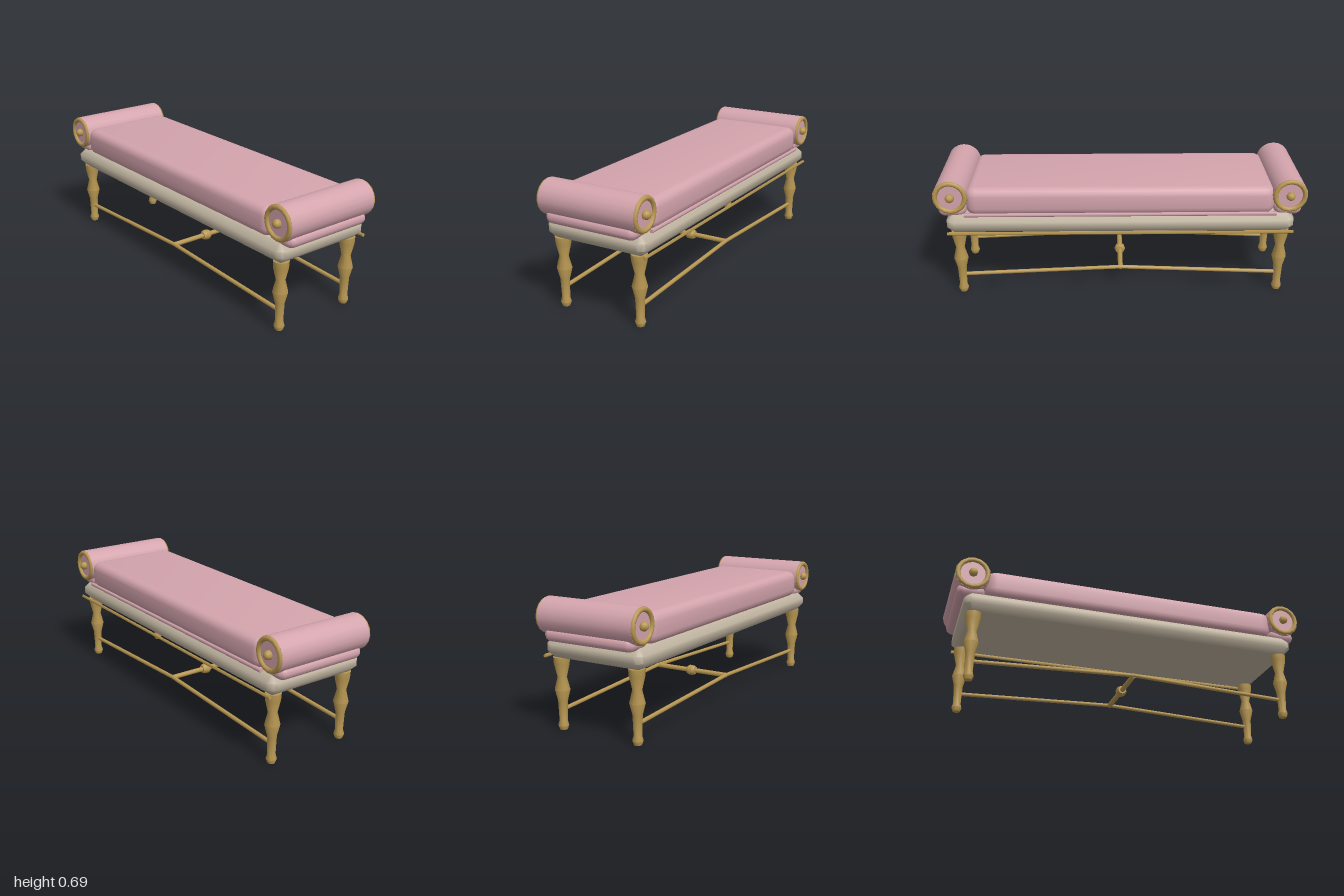
import * as THREE from 'three';
import { toCreasedNormals } from 'three/addons/utils/BufferGeometryUtils.js';

export function createModel() {
  const model = new THREE.Group();
  model.name = 'bench';

  const material = (name, color) => {
    const m = new THREE.MeshStandardMaterial({ color });
    m.name = name;
    return m;
  };
  const pink = material('pink upholstery', 0xd4a4ad);
  const gold = material('gilded wood', 0xb99852);
  const beige = material('beige frame', 0xc2b6a2);

  const add = (name, geometry, mat, x = 0, y = 0, z = 0) => {
    const mesh = new THREE.Mesh(geometry, mat);
    mesh.name = name;
    mesh.position.set(x, y, z);
    model.add(mesh);
    return mesh;
  };

  // Slab with softened edges, lying flat and centred on its own origin
  const softSlab = (w, h, d, bevel, segments, corner) => {
    const x = w / 2 - bevel, z = d / 2 - bevel, r = corner;
    const s = new THREE.Shape();
    s.moveTo(-x + r, -z);
    s.lineTo(x - r, -z);
    s.quadraticCurveTo(x, -z, x, -z + r);
    s.lineTo(x, z - r);
    s.quadraticCurveTo(x, z, x - r, z);
    s.lineTo(-x + r, z);
    s.quadraticCurveTo(-x, z, -x, z - r);
    s.lineTo(-x, -z + r);
    s.quadraticCurveTo(-x, -z, -x + r, -z);
    const g = new THREE.ExtrudeGeometry(s, {
      depth: h - 2 * bevel, bevelEnabled: true, bevelSize: bevel,
      bevelThickness: bevel, bevelSegments: segments, curveSegments: 3,
    });
    g.rotateX(-Math.PI / 2);
    g.translate(0, bevel - h / 2, 0);
    return toCreasedNormals(g, 0.9);
  };

  // Round rod between two points
  const rod = (name, a, b, radius, sides, mat) => {
    const from = new THREE.Vector3(...a), to = new THREE.Vector3(...b);
    const dir = to.clone().sub(from);
    const mesh = add(name, new THREE.CylinderGeometry(radius, radius, dir.length(), sides), mat);
    mesh.position.copy(from).add(to).multiplyScalar(0.5);
    mesh.quaternion.setFromUnitVectors(new THREE.Vector3(0, 1, 0), dir.normalize());
    return mesh;
  };

  // Seat frame and main cushion
  add('seatFrame', softSlab(1.88, 0.105, 0.58, 0.034, 1, 0.012), beige, 0, 0.4325, 0);
  add('seatCushion', softSlab(1.66, 0.155, 0.56, 0.045, 4, 0.012), pink, 0, 0.5575, 0);

  // Turned legs
  const legGeometry = new THREE.LatheGeometry([
    [0, 0], [0.02, 0], [0.028, 0.022], [0.021, 0.048], [0.025, 0.15],
    [0.04, 0.21], [0.024, 0.275], [0.04, 0.345], [0.042, 0.38], [0, 0.38],
  ].map(([r, y]) => new THREE.Vector2(r, y)), 12);
  const leg = toCreasedNormals(legGeometry, 0.7);
  const legX = 0.882, legZ = 0.228;
  for (const sx of [-1, 1]) {
    for (const sz of [-1, 1]) {
      add('leg', leg, gold, sx * legX, 0, sz * legZ);
      // Long stretchers rise gently to the middle
      rod('longStretcher', [sx * legX, 0.105, sz * legZ], [0, 0.142, sz * legZ], 0.011, 8, gold);
    }
  }

  // Cross stretcher with a turned knob
  rod('crossStretcher', [0, 0.14, -legZ], [0, 0.14, legZ], 0.014, 8, gold);
  const crossKnob = new THREE.LatheGeometry([
    [0, -0.025], [0.022, -0.025], [0.03, -0.01], [0.03, 0.01], [0.022, 0.025], [0, 0.025],
  ].map(([r, y]) => new THREE.Vector2(r, y)), 8);
  crossKnob.rotateX(Math.PI / 2);
  add('crossKnob', toCreasedNormals(crossKnob, 0.9), gold, 0, 0.14, 0);

  // Bolster at each end, resting on a small pad
  const padGeometry = softSlab(0.15, 0.07, 0.53, 0.034, 3, 0.008);
  const bolsterGeometry = new THREE.CylinderGeometry(0.0935, 0.0935, 0.555, 20);
  bolsterGeometry.rotateX(Math.PI / 2);
  const ringGeometry = new THREE.TorusGeometry(0.08, 0.0135, 8, 16);
  const knobGeometry = new THREE.SphereGeometry(0.025, 8, 6);
  knobGeometry.rotateX(Math.PI / 2);
  for (const sx of [-1, 1]) {
    const x = sx * 0.906, y = 0.593;
    add('bolsterPad', padGeometry, pink, x, 0.505, 0);
    add('bolster', bolsterGeometry, pink, x, y, 0);
    for (const sz of [-1, 1]) {
      add('bolsterRing', ringGeometry, gold, x, y, sz * 0.278);
      add('bolsterKnob', knobGeometry, gold, x, y, sz * 0.287);
    }
  }

  // Piping and gilded bead along the back
  rod('backPiping', [-0.84, 0.487, -0.271], [0.84, 0.487, -0.271], 0.011, 6, pink);
  rod('backBead', [-0.935, 0.386, -0.291], [0.935, 0.386, -0.291], 0.01, 4, gold);

  return model;
}
